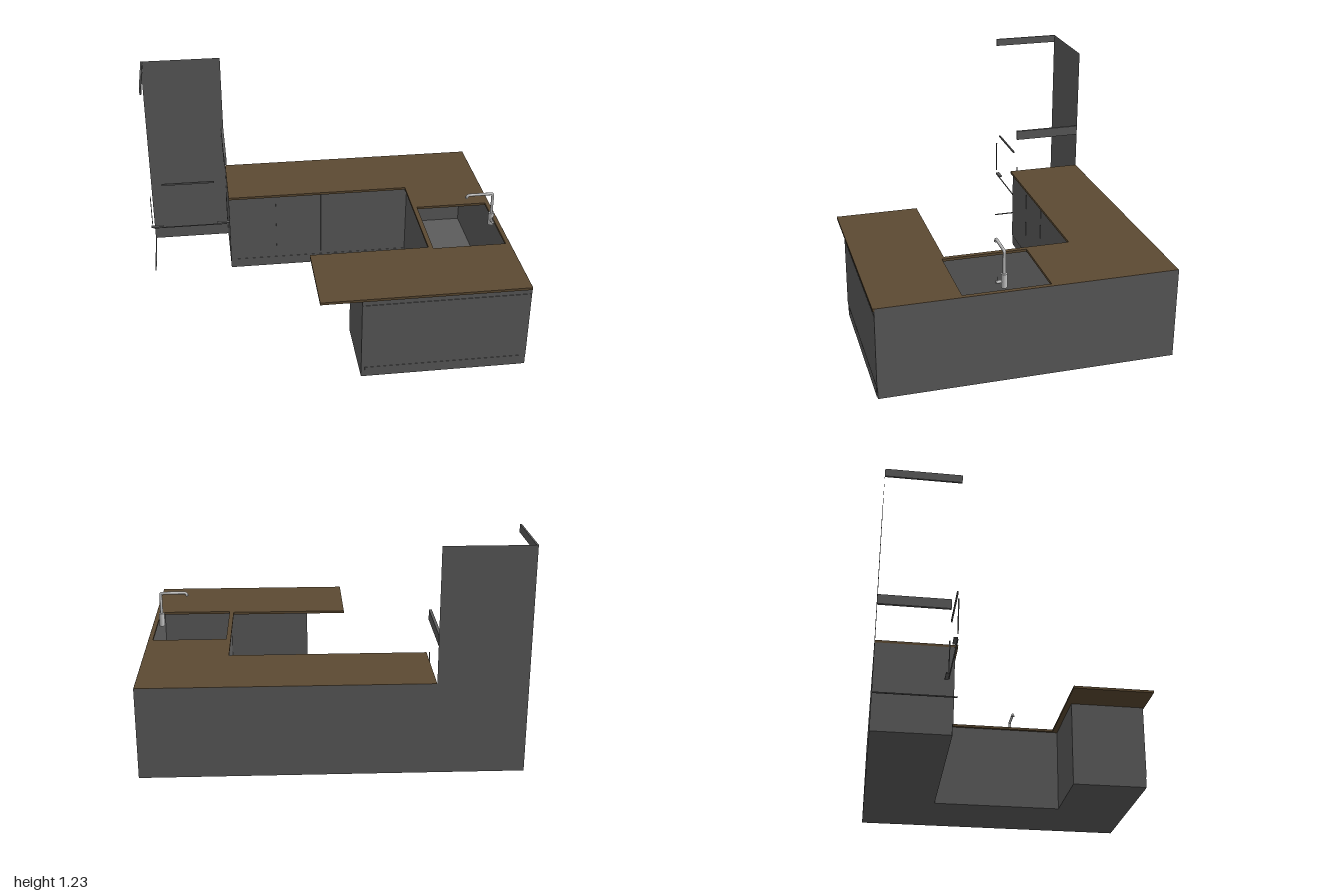
import * as THREE from 'three';

const mat = (name, color, side = THREE.FrontSide) => {
  const m = new THREE.MeshStandardMaterial({ color, side });
  m.name = name;
  return m;
};

export function createModel() {
  const root = new THREE.Group();
  const grey = mat('cabinetGrey', 0x5c5c5c, THREE.DoubleSide);
  const wood = mat('counterBrown', 0x5c4a32);
  const metal = mat('faucetMetal', 0xc4c4c4);

  const add = (name, geo, material, parent = root) => {
    const m = new THREE.Mesh(geo, material);
    m.name = name;
    parent.add(m);
    return m;
  };
  // box given by its limits on each axis
  const block = (name, [x0, x1], [y0, y1], [z0, z1], material = grey) => {
    const m = add(name, new THREE.BoxGeometry(x1 - x0, y1 - y0, z1 - z0), material);
    m.position.set((x0 + x1) / 2, (y0 + y1) / 2, (z0 + z1) / 2);
    return m;
  };
  // plan outline in x, z
  const plan = (pts) => new THREE.Shape(pts.map(([x, z]) => new THREE.Vector2(x, -z)));

  // U-shaped hollow base cabinets: floor and upright walls around the outline
  const outline = [[-0.53, -0.79], [1, -0.79], [1, 0.78], [0.1, 0.78],
    [0.1, 0.36], [0.555, 0.36], [0.555, -0.38], [-0.53, -0.38]];
  const floor = add('cabinetFloor', new THREE.ShapeGeometry(plan(outline)), grey);
  floor.rotation.x = -Math.PI / 2;
  outline.forEach(([ax, az], i) => {
    const [bx, bz] = outline[(i + 1) % outline.length];
    const h = i < 2 ? 0.5 : 0.489;
    const wall = add('cabinetWall', new THREE.PlaneGeometry(Math.hypot(bx - ax, bz - az), h), grey);
    wall.position.set((ax + bx) / 2, h / 2, (az + bz) / 2);
    wall.rotation.y = -Math.atan2(bz - az, bx - ax);
  });
  block('innerPlinth', [0.558, 0.625], [0.002, 0.06], [-0.37, 0.35]);

  // doors on the back run
  for (const [x0, x1] of [[-0.528, -0.252], [-0.247, 0.021], [0.027, 0.553]]) {
    block('backRunDoor', [x0, x1], [0.062, 0.484], [-0.38, -0.375]);
  }
  block('backRunPlinth', [-0.52, 0.55], [0.001, 0.058], [-0.38, -0.378]);

  // front panels of the peninsula
  block('peninsulaPanel', [0.1, 1], [0.063, 0.457], [0.78, 0.783]);
  block('peninsulaRail', [0.1, 1], [0.461, 0.488], [0.78, 0.783]);
  block('peninsulaPlinth', [0.12, 0.98], [0.001, 0.058], [0.78, 0.782]);

  // countertop with the sink opening
  const top = plan([[-0.53, -0.789], [0.999, -0.789], [0.999, 0.79], [-0.12, 0.79],
    [-0.12, 0.33], [0.54, 0.33], [0.54, -0.36], [-0.53, -0.36]]);
  top.holes.push(plan([[0.565, -0.115], [0.565, 0.345], [0.975, 0.345], [0.975, -0.115]]));
  const counterGeo = new THREE.ExtrudeGeometry(top, { depth: 0.014, bevelEnabled: false });
  counterGeo.rotateX(-Math.PI / 2);
  add('countertop', counterGeo, wood).position.y = 0.487;

  // tall unit: back panel, edge strips, open front frame
  const tall = add('tallBackPanel', new THREE.PlaneGeometry(0.47, 1.225), grey);
  tall.position.set(-0.765, 0.6125, -0.79);
  block('topSideStrip', [-1, -0.99], [1.182, 1.225], [-0.79, -0.4]);
  block('middleSideStrip', [-0.545, -0.53], [0.705, 0.76], [-0.79, -0.4]);
  block('floorSideStrip', [-1, -0.993], [0, 0.005], [-0.79, -0.4]);
  block('tallHandle', [-0.92, -0.61], [0.59, 0.6], [-0.408, -0.4]);
  block('frameBottomRail', [-0.99, -0.545], [0.3, 0.304], [-0.408, -0.402]);
  for (const [x0, x1, px] of [[-1, -0.93, -0.992], [-0.605, -0.53, -0.541]]) {
    block('frameFoot', [x0, x1], [0.303, 0.309], [-0.425, -0.405]);
    block('framePost', [px - 0.002, px + 0.002], [0.33, 0.52], [-0.408, -0.402]);
  }

  // faucet
  const faucet = new THREE.Group();
  faucet.name = 'faucet';
  faucet.position.set(0.945, 0.5, 0.123);
  root.add(faucet);
  add('faucetBase', new THREE.CylinderGeometry(0.016, 0.016, 0.075, 24), metal, faucet).position.y = 0.0375;
  const path = new THREE.CurvePath();
  const v = (x, y) => new THREE.Vector3(x, y, 0);
  path.add(new THREE.LineCurve3(v(0, 0.07), v(0, 0.187)));
  path.add(new THREE.QuadraticBezierCurve3(v(0, 0.187), v(0, 0.197), v(-0.01, 0.197)));
  path.add(new THREE.LineCurve3(v(-0.01, 0.197), v(-0.135, 0.197)));
  path.add(new THREE.QuadraticBezierCurve3(v(-0.135, 0.197), v(-0.147, 0.197), v(-0.15, 0.182)));
  add('faucetSpout', new THREE.TubeGeometry(path, 80, 0.008, 12), metal, faucet);
  const tip = add('faucetTip', new THREE.CylinderGeometry(0.0085, 0.0085, 0.006, 16), metal, faucet);
  tip.position.set(-0.15, 0.182, 0);
  const stem = add('faucetLeverStem', new THREE.CylinderGeometry(0.008, 0.008, 0.03, 16), metal, faucet);
  stem.rotation.x = Math.PI / 2;
  stem.position.set(0, 0.033, 0.027);
  const lever = add('faucetLever', new THREE.CylinderGeometry(0.003, 0.003, 0.035, 10), metal, faucet);
  lever.position.set(0, 0.043, 0.034);

  return root;
}
